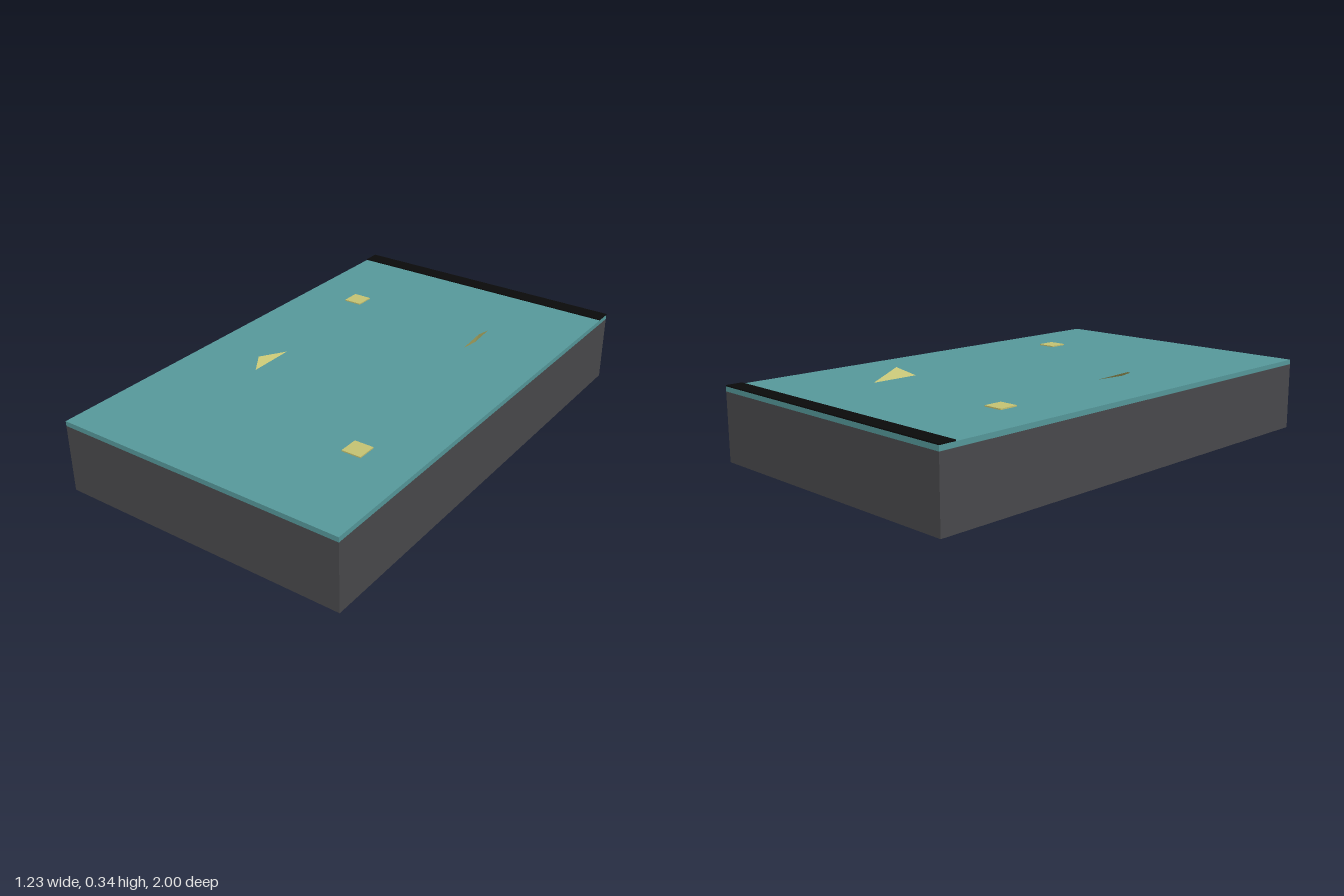
import * as THREE from 'three';

const material = (name, color) => {
  const m = new THREE.MeshStandardMaterial({ color });
  m.name = name;
  return m;
};

export function createModel() {
  const group = new THREE.Group();
  const grey = material('dark grey', 0x4a4a4d);
  const teal = material('teal', 0x579a9c);
  const black = material('black', 0x0b0b0b);
  const yellow = material('pale yellow', 0xc6c473);

  const add = (name, geometry, mat) => {
    const mesh = new THREE.Mesh(geometry, mat);
    mesh.name = name;
    group.add(mesh);
    return mesh;
  };
  // Box standing on height y
  const box = (name, mat, w, h, d, x, y, z) =>
    add(name, new THREE.BoxGeometry(w, h, d), mat).position.set(x, y + h / 2, z);

  // Slab with its coloured top layer and rear stripe
  box('base', grey, 1.234, 0.28, 2, 0, 0, 0);
  box('topLayer', teal, 1.234, 0.02, 2, 0, 0.28, 0);
  box('rearStripe', black, 1.234, 0.005, 0.07, 0, 0.3, -0.965);

  // Small square tiles
  box('rearTile', yellow, 0.08, 0.006, 0.08, -0.375, 0.299, -0.505);
  box('frontTile', yellow, 0.08, 0.006, 0.08, 0.37, 0.299, 0.55);

  // Leaning shard: long base edge, a small foot behind it, and an overhanging tip
  const shard = (name, x, z0, z1, lean, height, tipZ) => {
    const y = 0.3;
    const a = [x, y, z0], b = [x, y, z1];
    const foot = [x + lean * 0.4, y, tipZ], tip = [x + lean, y + height, tipZ];
    const faces = [[a, b, tip], [b, foot, tip], [foot, a, tip], [a, foot, b]];
    // Mirror the corner order for shards leaning towards -x
    const corners = faces.flatMap((f) => (lean > 0 ? [f[1], f[0], f[2]] : f)).flat();
    const g = new THREE.BufferGeometry();
    g.setAttribute('position', new THREE.Float32BufferAttribute(corners, 3));
    // Turn every face outwards from the centre of the shard
    const p = g.attributes.position;
    const c = new THREE.Vector3();
    [a, b, foot, tip].forEach((v) => c.add(new THREE.Vector3(...v).multiplyScalar(0.25)));
    const t = new THREE.Triangle();
    const n = new THREE.Vector3();
    for (let i = 0; i < p.count; i += 3) {
      t.setFromAttributeAndIndices(p, i, i + 1, i + 2);
      if (t.getNormal(n).dot(t.a.clone().sub(c)) < 0) {
        p.setXYZ(i, t.b.x, t.b.y, t.b.z);
        p.setXYZ(i + 1, t.a.x, t.a.y, t.a.z);
      }
    }
    g.computeVertexNormals();
    add(name, g, yellow);
  };
  shard('rearShard', 0.268, -0.565, -0.355, 0.027, 0.04, -0.43);
  shard('frontShard', -0.31, 0.09, 0.29, -0.042, 0.018, 0.22);

  return group;
}
